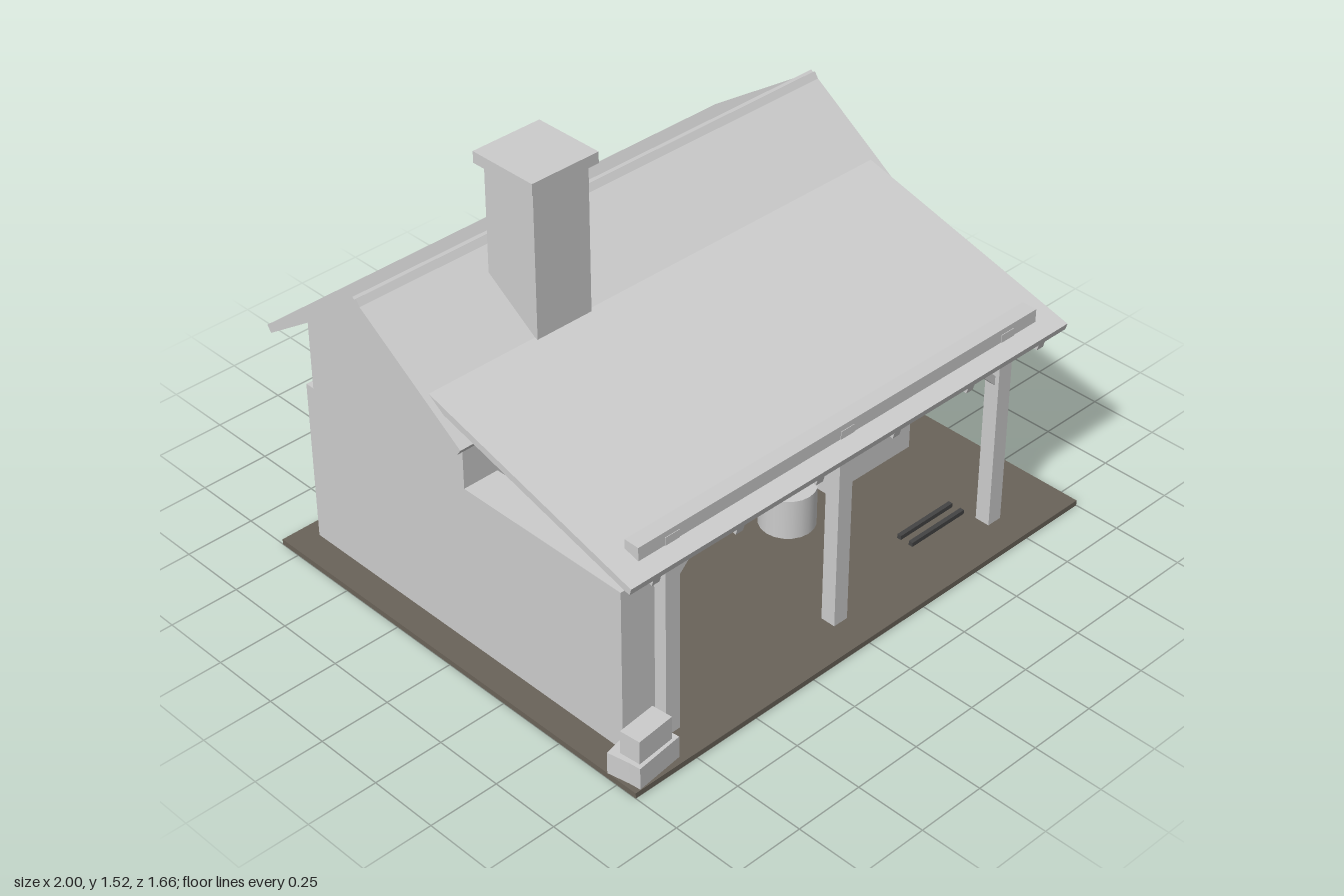
import * as THREE from 'three';

const mat = (name, color) => {
  const m = new THREE.MeshStandardMaterial({ color });
  m.name = name;
  return m;
};

export function createModel() {
  const root = new THREE.Group();
  root.name = 'smithy';
  const grey = mat('pale grey', 0xcccccc);
  const earth = mat('dark earth', 0x6a6359);
  const iron = mat('dark iron', 0x444444);
  const coal = mat('coal bed', 0x6b6361);

  const add = (name, geo, m, parent = root) => {
    const mesh = new THREE.Mesh(geo, m);
    mesh.name = name;
    parent.add(mesh);
    return mesh;
  };
  // Box given by its extents on each axis
  const box = (name, m, x0, x1, y0, y1, z0, z1, parent) => {
    const mesh = add(name, new THREE.BoxGeometry(x1 - x0, y1 - y0, z1 - z0), m, parent);
    mesh.position.set((x0 + x1) / 2, (y0 + y1) / 2, (z0 + z1) / 2);
    return mesh;
  };
  // Side profile of [z, y] points extruded along x
  const profile = (name, m, pts, x0, x1) => {
    const shape = new THREE.Shape(pts.map(([z, y]) => new THREE.Vector2(z, y)));
    const geo = new THREE.ExtrudeGeometry(shape, { depth: x1 - x0, bevelEnabled: false });
    geo.rotateY(-Math.PI / 2).translate(x1, 0, 0);
    return add(name, geo, m);
  };
  // Sloping slab hanging below the line a-b, from depth t0 to t1
  const slab = (name, a, b, t0, t1, x0, x1) => {
    const dz = b[0] - a[0], dy = b[1] - a[1], l = Math.hypot(dz, dy);
    const s = dz > 0 ? 1 : -1;
    const off = ([z, y], t) => [z + (s * dy / l) * t, y - (s * dz / l) * t];
    return profile(name, grey, [off(a, t0), off(b, t0), off(b, t1), off(a, t1)], x0, x1);
  };

  // Ground and house
  box('ground', earth, -1, 1, 0, 0.02, -0.83, 0.83);
  profile('house', grey, [[-0.01, 0.01], [-0.01, 0.9], [-0.37, 1.13], [-0.73, 0.9], [-0.73, 0.01]], -0.9, 0.88);
  box('sideWall', grey, -0.9, -0.768, 0.01, 0.62, -0.765, 0.67);

  // Main roof
  slab('frontRoof', [-0.385, 1.165], [0.08, 0.85], 0, 0.028, -0.98, 0.967);
  slab('backRoof', [-0.368, 1.165], [-0.83, 0.85], 0, 0.028, -0.98, 0.967);

  // Chimney
  box('chimney', grey, -0.54, -0.32, 0.85, 1.48, -0.285, -0.07);
  box('chimneyCap', grey, -0.56, -0.297, 1.48, 1.52, -0.31, -0.05);

  // Lean-to roof with rafters
  const eave = [0.775, 0.725], head = [-0.255, 1.007];
  slab('leanToRoof', eave, head, 0, 0.025, -0.957, 0.94);
  for (let i = 0; i < 6; i++) {
    const x = -0.85 + i * 0.335;
    slab('rafter', eave, head, 0.025, 0.048, x - 0.015, x + 0.015);
  }

  // Front beam, posts and braces
  box('frontBeam', grey, -0.87, 0.855, 0.735, 0.79, 0.657, 0.713);
  for (const x of [-0.737, -0.01, 0.72]) box('post', grey, x - 0.029, x + 0.029, 0.01, 0.77, 0.66, 0.715);
  for (const [x0, x1] of [[-0.72, -0.58], [0.01, 0.15], [0.7, 0.56]]) {
    const brace = add('brace', new THREE.BoxGeometry(0.025, 0.21, 0.025), grey);
    brace.position.set((x0 + x1) / 2, 0.65, 0.687);
    brace.rotation.z = x1 > x0 ? -Math.PI / 4 : Math.PI / 4;
  }

  // Forge with coals and leaning hood
  box('forge', grey, -0.65, -0.205, 0.01, 0.25, -0.03, 0.17);
  box('coals', coal, -0.58, -0.28, 0.25, 0.27, -0.02, 0.1);
  const hood = add('hood', new THREE.BoxGeometry(0.415, 0.25, 0.22), grey);
  hood.position.set(-0.427, 0.6, -0.008);
  hood.rotation.x = -0.12;

  // Tool board
  box('toolBoard', grey, 0.02, 0.63, 0.385, 0.635, -0.02, -0.004);
  for (let i = 0; i < 6; i++) {
    const x = 0.104 + i * 0.084, h = i % 2 ? 0.095 : 0.083;
    box('hangingTool', iron, x - 0.008, x + 0.008, 0.48 - h, 0.48 + h, -0.006, 0.009);
  }

  // Anvil on a stump
  const stump = add('stump', new THREE.CylinderGeometry(0.097, 0.097, 0.16, 20), grey);
  stump.position.set(0.24, 0.09, 0.24);
  const anvil = new THREE.Group();
  anvil.name = 'anvil';
  root.add(anvil);
  box('anvilFoot', iron, 0.208, 0.275, 0.17, 0.255, 0.203, 0.285, anvil);
  box('anvilBody', iron, 0.145, 0.335, 0.253, 0.3, 0.207, 0.281, anvil);
  const horn = add('anvilHorn', new THREE.ConeGeometry(0.043, 0.11, 16), iron, anvil);
  horn.rotation.z = -Math.PI / 2;
  horn.position.set(0.387, 0.277, 0.244);

  // Trough and tongs on the floor
  box('trough', grey, 0.435, 0.825, 0.01, 0.167, 0.06, 0.245);
  for (const z of [0.56, 0.61]) box('tongs', iron, 0.43, 0.68, 0.02, 0.036, z - 0.008, z + 0.008);

  // Barrels with iron hoops
  const barrel = (x, z, r, top, hoops) => {
    const g = new THREE.Group();
    g.name = 'barrel';
    g.position.set(x, 0, z);
    root.add(g);
    const body = add('barrelBody', new THREE.CylinderGeometry(r, r, top - 0.01, 20), grey, g);
    body.position.y = (top + 0.01) / 2;
    for (const y of hoops) {
      const hoop = add('hoop', new THREE.TorusGeometry(r, 0.008, 6, 24), iron, g);
      hoop.rotation.x = Math.PI / 2;
      hoop.position.y = y;
    }
  };
  barrel(0.912, -0.008, 0.081, 0.217, [0.183, 0.045]);
  barrel(0.835, -0.205, 0.085, 0.242, [0.203, 0.05]);

  // Stacked stone blocks
  for (const [x, y, z, w, h, d, a] of [
    [-0.895, 0.055, 0.775, 0.18, 0.09, 0.085, 0.12],
    [-0.95, 0.055, 0.755, 0.08, 0.09, 0.11, 0.2],
    [-0.898, 0.143, 0.768, 0.145, 0.085, 0.075, 0.1],
  ]) {
    const block = add('stoneBlock', new THREE.BoxGeometry(w, h, d), grey);
    block.position.set(x, y, z);
    block.rotation.y = a;
  }
  return root;
}
